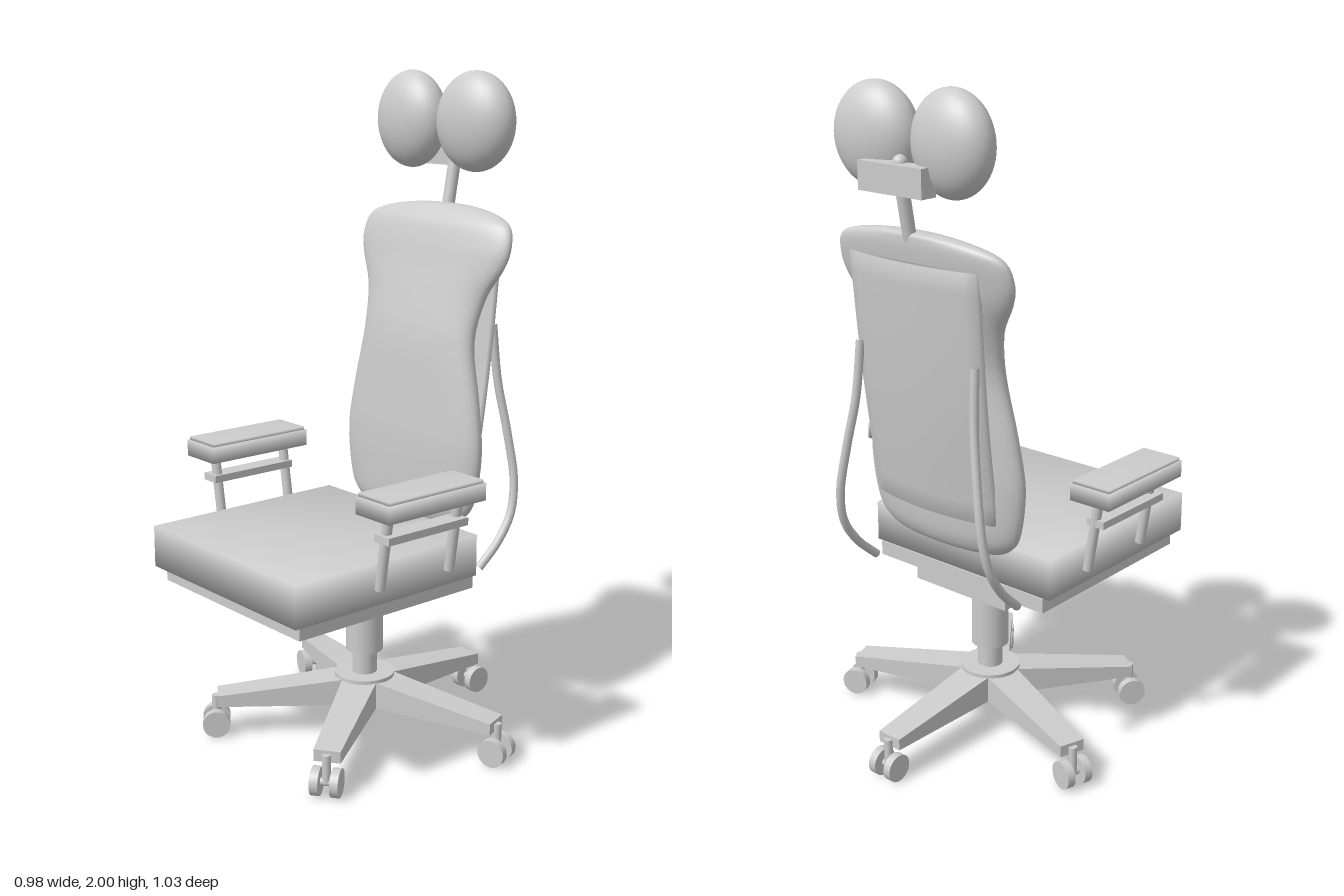
import * as THREE from 'three';
import { mergeVertices } from 'three/addons/utils/BufferGeometryUtils.js';

const grey = new THREE.MeshStandardMaterial({ color: 0xcccccc });
grey.name = 'light grey';
const V = (x, y, z) => new THREE.Vector3(x, y, z);

function add(parent, name, geometry, x = 0, y = 0, z = 0) {
  const mesh = new THREE.Mesh(geometry, grey);
  mesh.name = name;
  mesh.position.set(x, y, z);
  parent.add(mesh);
  return mesh;
}

// Box given by its two extremes on each axis
function box(parent, name, [x0, x1], [y0, y1], [z0, z1], soft = false) {
  const g = new THREE.BoxGeometry(x1 - x0, y1 - y0, z1 - z0);
  return add(parent, name, soft ? smooth(g) : g, (x0 + x1) / 2, (y0 + y1) / 2, (z0 + z1) / 2);
}

// Straight rod between two points
function rod(parent, name, a, b, radius, sides = 16) {
  const dir = b.clone().sub(a);
  const mesh = add(parent, name, new THREE.CylinderGeometry(radius, radius, dir.length(), sides));
  mesh.position.copy(a).add(b).multiplyScalar(0.5);
  mesh.quaternion.setFromUnitVectors(V(0, 1, 0), dir.normalize());
  return mesh;
}

// Shared normals across all faces
function smooth(g) {
  g.deleteAttribute('normal');
  g.deleteAttribute('uv');
  const merged = mergeVertices(g, 1e-5);
  merged.computeVertexNormals();
  return merged;
}

// Move every vertex by a rule
function reshape(g, rule) {
  const p = g.attributes.position;
  for (let i = 0; i < p.count; i++) {
    const v = rule(V(p.getX(i), p.getY(i), p.getZ(i)));
    p.setXYZ(i, v.x, v.y, v.z);
  }
  g.computeVertexNormals();
  return g;
}

// Back cushion: lens-shaped sections of [height, half width, front z, back z]
function cushionGeometry() {
  const rows = [
    [0.665, 0, -0.19, -0.19], [0.672, 0.17, -0.155, -0.235], [0.70, 0.235, -0.14, -0.26],
    [0.76, 0.272, -0.135, -0.275], [0.90, 0.29, -0.135, -0.285], [1.05, 0.268, -0.145, -0.29],
    [1.22, 0.233, -0.16, -0.295], [1.35, 0.25, -0.19, -0.32], [1.44, 0.30, -0.215, -0.34],
    [1.50, 0.317, -0.23, -0.35], [1.56, 0.30, -0.25, -0.36], [1.59, 0.235, -0.275, -0.362],
    [1.608, 0.12, -0.30, -0.358], [1.613, 0, -0.33, -0.33],
  ];
  const outline = new THREE.CatmullRomCurve3(rows.map(r => V(r[1], r[0], 0)), false, 'catmullrom');
  const depth = new THREE.CatmullRomCurve3(
    rows.map(r => V((r[2] + r[3]) / 2, (r[2] - r[3]) / 2, 0)), false, 'catmullrom');
  return smooth(reshape(new THREE.SphereGeometry(1, 48, 52), v => {
    const t = 1 - Math.acos(THREE.MathUtils.clamp(v.y, -1, 1)) / Math.PI;
    const a = Math.atan2(v.z, v.x);
    const o = outline.getPoint(t), d = depth.getPoint(t);
    return V(Math.max(o.x, 0) * Math.cos(a), o.y, d.x + Math.max(d.y, 0) * Math.sin(a));
  }));
}

// Back shell: a thin plate, bowed across and leaning back
function shellGeometry() {
  return smooth(reshape(new THREE.BoxGeometry(2, 1, 0.02, 14, 12, 1), v => {
    const t = v.y + 0.5;
    const z = -0.28 - 0.085 * t - 0.02 * Math.sin(Math.PI * t) * 0.5 + 0.03 * v.x * v.x;
    return V(v.x * (0.222 + 0.01 * t), 0.79 + 0.74 * t, z + v.z);
  }));
}

// Base leg along +x, tapering towards the tip
function legGeometry() {
  return reshape(new THREE.BoxGeometry(1, 1, 1), v => {
    const t = v.x + 0.5;
    const top = 0.188 - 0.053 * t, bottom = 0.1;
    return V(0.03 + 0.425 * t, v.y > 0 ? top : bottom, v.z * (0.11 - 0.03 * t));
  });
}

export function createModel() {
  const model = new THREE.Group();
  model.name = 'officeChair';

  // Seat
  box(model, 'seatCushion', [-0.34, 0.34], [0.56, 0.685], [-0.155, 0.515], true);
  box(model, 'seatPan', [-0.32, 0.32], [0.515, 0.56], [-0.16, 0.487]);
  box(model, 'seatMount', [-0.175, 0.175], [0.475, 0.515], [-0.155, 0.19]);

  // Column and star base
  const base = new THREE.Group();
  base.name = 'base';
  base.position.z = -0.016;
  model.add(base);
  rod(base, 'columnSleeve', V(0, 0.265, 0), V(0, 0.476, 0), 0.057, 32);
  rod(base, 'gasLift', V(0, 0.18, 0), V(0, 0.27, 0), 0.038, 24);
  rod(base, 'hub', V(0, 0.095, 0), V(0, 0.185, 0), 0.08, 32);
  rod(base, 'hubCap', V(0, 0.18, 0), V(0, 0.192, 0), 0.092, 32);
  for (let i = 0; i < 5; i++) {
    const arm = new THREE.Group();
    arm.name = 'baseLeg';
    arm.rotation.y = Math.PI / 2 + (i * Math.PI * 2) / 5;
    base.add(arm);
    add(arm, 'legBeam', legGeometry());
    rod(arm, 'casterStem', V(0.459, 0.04, 0), V(0.459, 0.125, 0), 0.013);
    rod(arm, 'casterAxle', V(0.459, 0.042, -0.03), V(0.459, 0.042, 0.03), 0.012);
    for (const s of [-1, 1]) {
      rod(arm, 'casterWheel', V(0.459, 0.042, s * 0.017), V(0.459, 0.042, s * 0.042), 0.042, 24);
    }
  }

  // Backrest
  add(model, 'backCushion', cushionGeometry());
  add(model, 'backShell', shellGeometry());

  // Headrest
  rod(model, 'headrestPost', V(0, 1.54, -0.335), V(0, 1.77, -0.378), 0.019);
  add(model, 'headrestPivot', new THREE.SphereGeometry(0.021, 16, 12), 0, 1.8, -0.377);
  box(model, 'headrestBracket', [-0.115, 0.115], [1.72, 1.8], [-0.42, -0.365]);

  for (const s of [-1, 1]) {
    const pad = add(model, 'headrestPad', new THREE.SphereGeometry(1, 40, 28), s * 0.137, 1.855, -0.322);
    pad.scale.set(0.137, 0.145, 0.08);
    pad.rotation.y = s * 0.07;

    // Side bar sweeping from the shell to the seat pan
    const path = new THREE.CatmullRomCurve3([
      V(s * 0.215, 1.27, -0.33), V(s * 0.225, 1.1, -0.345), V(s * 0.25, 0.95, -0.363),
      V(s * 0.275, 0.8, -0.372), V(s * 0.285, 0.7, -0.352), V(s * 0.285, 0.62, -0.3),
      V(s * 0.28, 0.55, -0.225),
    ]);
    add(model, 'backSideBar', new THREE.TubeGeometry(path, 40, 0.013, 10));

    // Armrest
    const arm = new THREE.Group();
    arm.name = 'armrest';
    model.add(arm);
    const span = (a, b) => (s > 0 ? [a, b] : [-b, -a]);
    box(arm, 'armPad', span(0.333, 0.47), [0.838, 0.888], [-0.058, 0.302], true);
    box(arm, 'armPadTop', span(0.338, 0.465), [0.886, 0.898], [-0.052, 0.296], true);
    box(arm, 'armBracket', span(0.372, 0.432), [0.763, 0.785], [-0.028, 0.268]);
    for (const z of [-0.015, 0.245]) {
      rod(arm, 'armPost', V(s * 0.405, 0.845, z), V(s * 0.37, 0.618, z), 0.015);
    }
  }
  return model;
}
